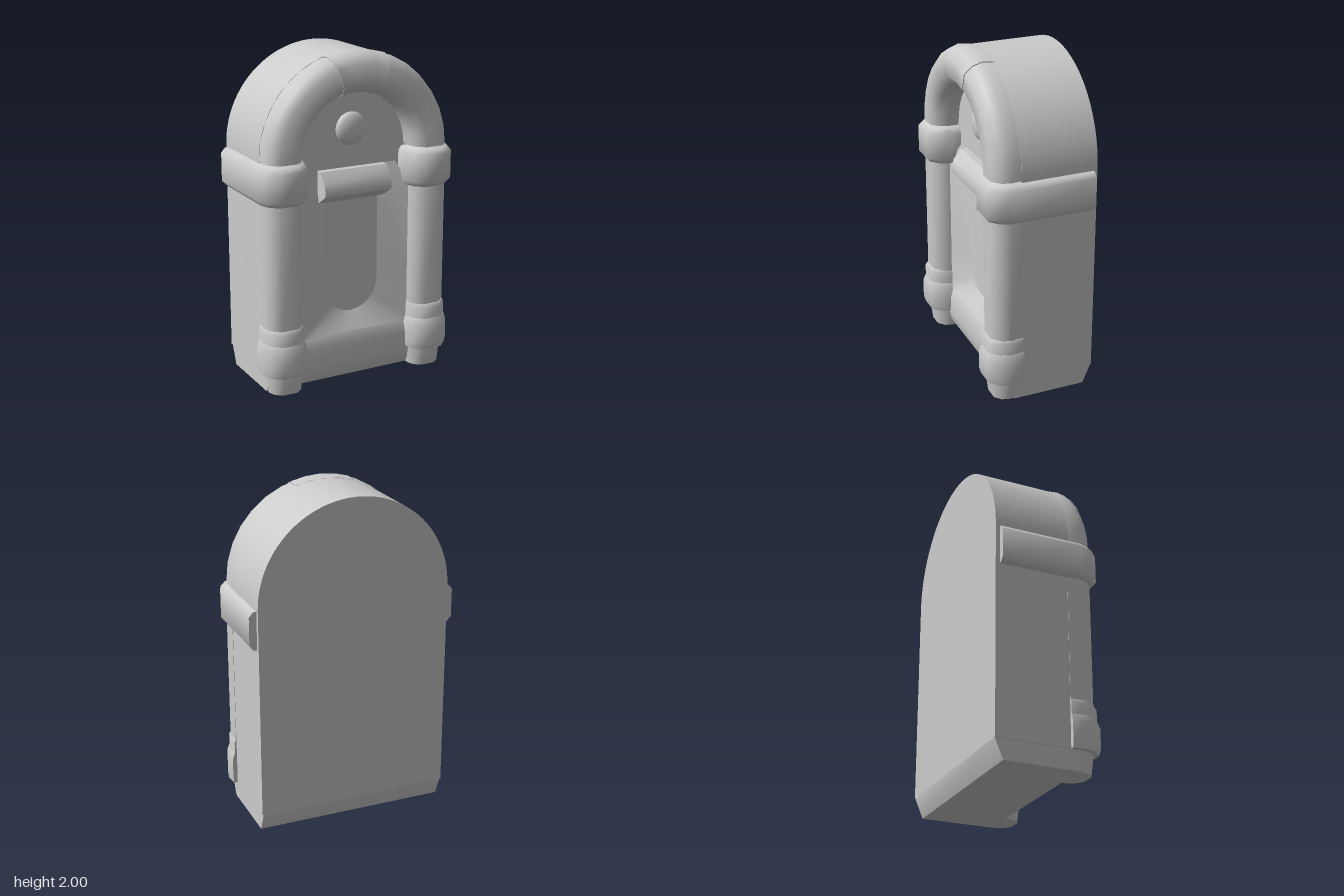
import * as THREE from 'three';
import { toCreasedNormals } from 'three/addons/utils/BufferGeometryUtils.js';

const ARCH_Y = 1.4;
const material = new THREE.MeshStandardMaterial({ color: 0xcccccc });
const thin = new THREE.MeshStandardMaterial({ color: 0xcccccc, side: THREE.DoubleSide });

function add(parent, name, geometry, mat = material) {
  const mesh = new THREE.Mesh(geometry, mat);
  mesh.name = name;
  parent.add(mesh);
  return mesh;
}

// Skin a list of equal-length rings; closed rings get end caps
function loft(rings, closed = true) {
  const n = rings[0].length, pos = [];
  const tri = (...p) => p.forEach((v) => pos.push(...v));
  for (let k = 0; k + 1 < rings.length; k++) {
    const a = rings[k], b = rings[k + 1];
    for (let i = 0; i < (closed ? n : n - 1); i++) {
      const j = (i + 1) % n;
      tri(a[i], a[j], b[j]);
      tri(a[i], b[j], b[i]);
    }
  }
  if (closed) {
    [rings[0], rings[rings.length - 1]].forEach((r, end) => {
      const c = [0, 1, 2].map((d) => r.reduce((s, p) => s + p[d], 0) / n);
      for (let i = 0; i < n; i++) {
        const j = (i + 1) % n;
        if (end) tri(c, r[i], r[j]); else tri(c, r[j], r[i]);
      }
    });
  }
  const g = new THREE.BufferGeometry();
  g.setAttribute('position', new THREE.Float32BufferAttribute(pos, 3));
  return toCreasedNormals(g, 1.0);
}

// Faceted half-round section as [x, z], from inner to outer edge
function section(x0, x1, front, back) {
  const w = x1 - x0, mid = 0.2 + (front - 0.2) * 0.55;
  const pts = [
    [x0, 0.12], [x0, 0.2], [x0 + 0.08 * w, mid], [x0 + 0.28 * w, front],
    [x1 - 0.28 * w, front], [x1 - 0.08 * w, mid], [x1, 0.2],
  ];
  if (back === undefined) pts.push([x1 - 0.008, 0.12]);
  else pts.push([x1, back], [0.57, back], [0.57, 0.12]);
  return pts;
}

// Upright piece from levels of [y, inner x, outer x, front z]
function stack(side, levels, back) {
  return loft(levels.map(([y, x0, x1, front]) => {
    const ring = section(x0, x1, front, back).map(([x, z]) => [side * x, y, z]);
    return side < 0 ? ring.reverse() : ring;
  }));
}

// Piece swept round the arch between two angles
function sweep(x0, x1, front, from, to, steps) {
  const rings = [];
  for (let i = 0; i <= steps; i++) {
    const a = from + (to - from) * i / steps;
    rings.push(section(x0, x1, front).map(([r, z]) =>
      [r * Math.cos(a), ARCH_Y + r * Math.sin(a), z]));
  }
  return loft(rings);
}

// Extrude a [z, y] side profile across x
function across(points, halfWidth) {
  const shape = new THREE.Shape(points.map(([z, y]) => new THREE.Vector2(-z, y)));
  const g = new THREE.ExtrudeGeometry(shape, { depth: halfWidth * 2, bevelEnabled: false });
  g.translate(0, 0, -halfWidth);
  g.rotateY(Math.PI / 2);
  return toCreasedNormals(g, 0.7);
}

export function createModel() {
  const model = new THREE.Group();
  model.name = 'jukebox';

  // Arched cabinet
  const outline = new THREE.Shape();
  outline.moveTo(-0.59, 0.12);
  outline.lineTo(0.59, 0.12);
  outline.lineTo(0.59, ARCH_Y);
  outline.absarc(0, ARCH_Y, 0.59, 0, Math.PI, false);
  outline.lineTo(-0.59, 0.12);
  const body = new THREE.ExtrudeGeometry(outline, { depth: 0.465, bevelEnabled: false, curveSegments: 24 });
  body.translate(0, 0, -0.33);
  add(model, 'cabinet', toCreasedNormals(body, 0.6));

  // Base with chamfered back and bulging front
  add(model, 'base', across([
    [-0.33, 0.12], [-0.28, 0], [0.17, 0], [0.2, 0.05], [0.215, 0.12],
    [0.213, 0.22], [0.195, 0.3], [0.125, 0.39], [-0.32, 0.39],
  ], 0.583));

  // Arched tube and keystone
  add(model, 'archTube', sweep(0.36, 0.596, 0.295, 0, Math.PI, 16));
  const half = THREE.MathUtils.degToRad(18);
  add(model, 'keystone', sweep(0.355, 0.6, 0.3, Math.PI / 2 - half, Math.PI / 2 + half, 4));

  // Columns with collars, cuffs and feet
  for (const side of [1, -1]) {
    const column = new THREE.Group();
    column.name = side > 0 ? 'leftColumn' : 'rightColumn';
    model.add(column);
    add(column, 'shaft', stack(side, [[0.36, 0.36, 0.6, 0.295], [1.2, 0.36, 0.6, 0.295]]));
    add(column, 'collar', stack(side, [
      [1.16, 0.345, 0.61, 0.305], [1.19, 0.325, 0.635, 0.33],
      [1.36, 0.325, 0.635, 0.33], [1.39, 0.345, 0.61, 0.305],
    ], -0.305));
    add(column, 'upperCuff', stack(side, [[0.28, 0.355, 0.61, 0.312], [0.39, 0.355, 0.61, 0.312], [0.41, 0.36, 0.602, 0.3]]));
    add(column, 'lowerCuff', stack(side, [
      [0.12, 0.345, 0.62, 0.315], [0.16, 0.34, 0.625, 0.328],
      [0.28, 0.34, 0.625, 0.328], [0.32, 0.355, 0.612, 0.312],
    ]));
    add(column, 'foot', stack(side, [[0, 0.375, 0.578, 0.275], [0.14, 0.36, 0.592, 0.292]]));
  }

  // Sloping surround of the round-bottomed window
  const inner = [], outer = [];
  const pair = (x, y, X, Y, Z) => { inner.push([x, y, 0.138]); outer.push([X, Y, Z]); };
  const clamp = (v) => THREE.MathUtils.clamp(v * 1.5, -1, 1);
  pair(-0.22, 1.3, -0.3, 1.3, 0.138);
  pair(-0.18, 1.1, -0.37, 1.16, 0.2);
  for (let i = 0; i <= 16; i++) {
    const a = Math.PI + Math.PI * i / 16, c = Math.cos(a), s = Math.sin(a);
    pair(0.18 * c, 0.58 + 0.18 * s, 0.37 * clamp(c), 0.58 + 0.29 * clamp(s), 0.2);
  }
  pair(0.18, 1.1, 0.37, 1.16, 0.2);
  pair(0.22, 1.3, 0.3, 1.3, 0.138);
  add(model, 'windowSurround', loft([outer, inner], false), thin);

  // Tilted selector panel over the window
  add(model, 'selectorPanel', across([
    [0.12, 1.1], [0.138, 1.1], [0.232, 1.16], [0.238, 1.18],
    [0.225, 1.24], [0.175, 1.3], [0.12, 1.3],
  ], 0.22));

  // Shallow domed speaker in the arch
  const dome = add(model, 'speakerDome', new THREE.SphereGeometry(0.1, 20, 12));
  dome.scale.z = 0.45;
  dome.position.set(0, 1.53, 0.135);

  return model;
}
